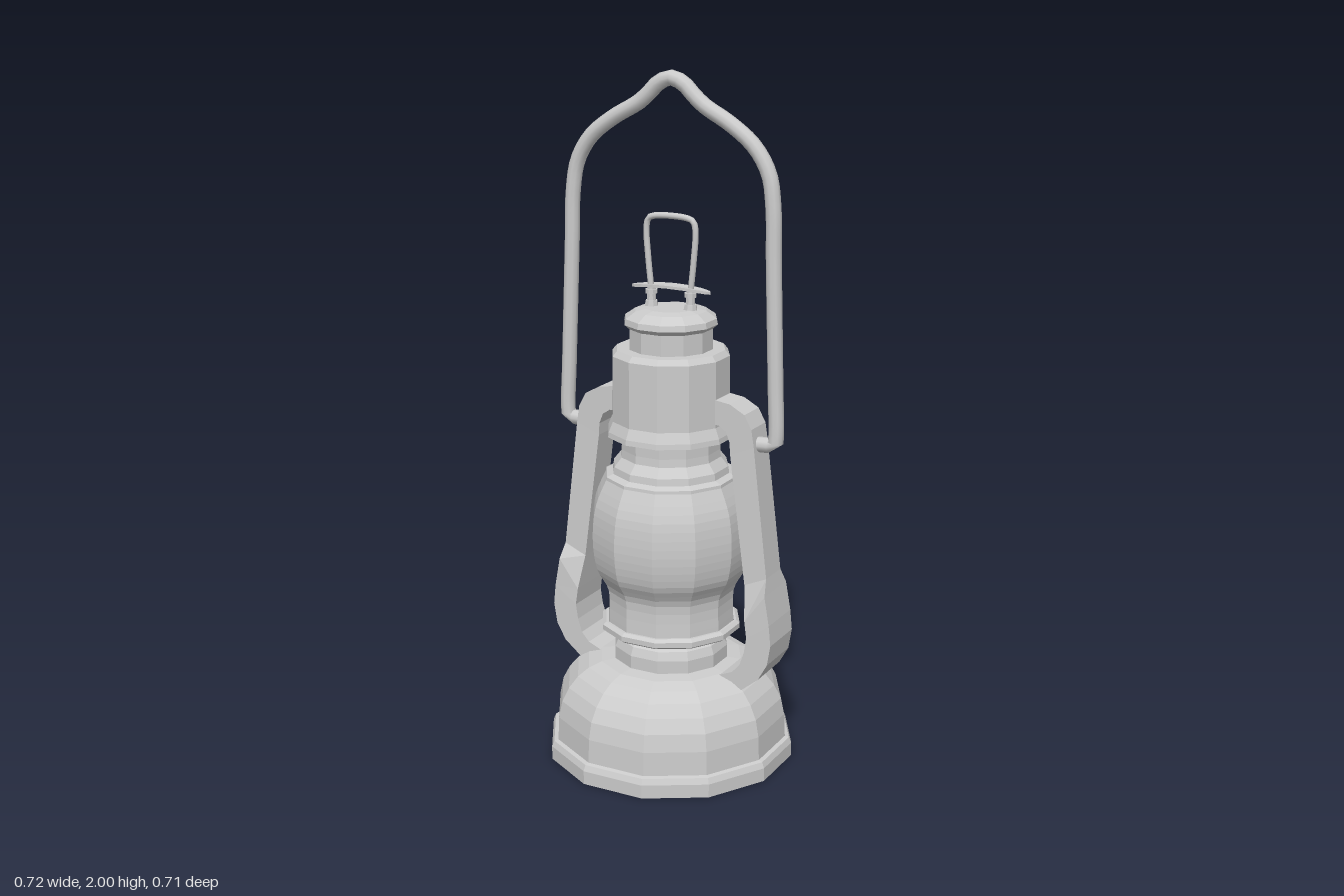
import * as THREE from 'three';

const flat = new THREE.MeshStandardMaterial({ color: 0xcccccc, flatShading: true });
const smooth = new THREE.MeshStandardMaterial({ color: 0xcccccc });

function add(parent, name, geometry, material = flat) {
  const mesh = new THREE.Mesh(geometry, material);
  mesh.name = name;
  parent.add(mesh);
  return mesh;
}

// Twelve-sided turned part; profile radii are measured across the flats
function turned(profile) {
  const k = 1 / Math.cos(Math.PI / 12);
  const pts = profile.map(([r, y]) => new THREE.Vector2(r * k, y));
  return new THREE.LatheGeometry(pts, 12, Math.PI / 12).toNonIndexed();
}

// Smooth round wire through points, with closed ends
function wire(parent, name, points, radius, segments, sides) {
  const pts = points.map((p) => new THREE.Vector3(...p));
  const curve = new THREE.CatmullRomCurve3(pts, false, 'centripetal');
  add(parent, name, new THREE.TubeGeometry(curve, segments, radius, sides), smooth);
  for (const p of [pts[0], pts[pts.length - 1]]) {
    add(parent, name + 'End', new THREE.SphereGeometry(radius, sides, 6), smooth).position.copy(p);
  }
}

// Side tube: rectangular sections [outerX, outerY, innerX, innerY, halfDepth]
function armGeometry(sections) {
  const pos = [], idx = [];
  for (const [ox, oy, ix, iy, d] of sections) {
    pos.push(ox, oy, d, ix, iy, d, ix, iy, -d, ox, oy, -d);
  }
  const last = (sections.length - 1) * 4;
  for (let j = 0; j < last; j += 4) {
    for (let k = 0; k < 4; k++) {
      const a = j + k, b = j + (k + 1) % 4;
      idx.push(a, b, b + 4, a, b + 4, a + 4);
    }
  }
  idx.push(3, 2, 1, 3, 1, 0, last, last + 1, last + 2, last, last + 2, last + 3);
  const g = new THREE.BufferGeometry();
  g.setAttribute('position', new THREE.Float32BufferAttribute(pos, 3));
  g.setIndex(idx);
  const out = g.toNonIndexed();
  out.computeVertexNormals();
  return out;
}

export function createModel() {
  const lantern = new THREE.Group();
  lantern.name = 'lantern';

  // Fuel tank with rolled foot
  add(lantern, 'fuelTank', turned([
    [0, 0], [0.354, 0], [0.354, 0.04], [0.347, 0.057], [0.335, 0.06], [0.332, 0.13],
    [0.322, 0.18], [0.302, 0.22], [0.275, 0.253], [0.243, 0.277], [0.205, 0.292], [0.165, 0.297], [0, 0.297],
  ]));

  // Burner between tank and globe
  add(lantern, 'burner', turned([
    [0.164, 0.29], [0.164, 0.335], [0.155, 0.36], [0.133, 0.38], [0.13, 0.40],
  ]));

  // Plate and rim that carry the globe
  add(lantern, 'globeRim', turned([
    [0, 0.385], [0.19, 0.385], [0.2, 0.392], [0.2, 0.407], [0.19, 0.415], [0.183, 0.415],
  ]));

  // Glass globe
  const globeCurve = new THREE.SplineCurve([
    [0.182, 0.41], [0.182, 0.51], [0.215, 0.58], [0.227, 0.67], [0.218, 0.77], [0.186, 0.85],
  ].map(([x, y]) => new THREE.Vector2(x, y)));
  add(lantern, 'globe', turned(globeCurve.getPoints(20).map((p) => [p.x, p.y])));

  // Collar over the globe
  add(lantern, 'globeCollar', turned([
    [0.15, 0.845], [0.187, 0.847], [0.186, 0.857], [0.166, 0.865], [0.163, 0.885],
    [0.142, 0.912], [0.14, 0.935], [0.14, 0.985],
  ]));

  // Chimney hood with flared skirt
  add(lantern, 'hood', turned([
    [0.13, 0.975], [0.18, 0.975], [0.178, 0.99], [0.166, 1.02], [0.165, 1.21],
    [0.152, 1.226], [0.115, 1.226],
  ]));

  // Chimney cap
  add(lantern, 'chimneyCap', turned([
    [0.117, 1.22], [0.117, 1.285], [0.131, 1.298], [0.128, 1.315], [0.1, 1.335], [0.07, 1.341], [0, 1.341],
  ]));

  // Side tubes, the second one turned half round
  const arm = armGeometry([
    [0.14, 1.105, 0.14, 1.03, 0.046], [0.21, 1.095, 0.175, 1.03, 0.046],
    [0.255, 1.07, 0.198, 1.015, 0.046], [0.277, 1.03, 0.21, 0.985, 0.046],
    [0.285, 0.98, 0.212, 0.95, 0.046], [0.33, 0.6, 0.262, 0.57, 0.048],
    [0.337, 0.555, 0.275, 0.47, 0.073], [0.352, 0.47, 0.282, 0.42, 0.074],
    [0.358, 0.41, 0.275, 0.375, 0.074], [0.348, 0.35, 0.262, 0.335, 0.074],
    [0.32, 0.3, 0.238, 0.308, 0.074], [0.265, 0.255, 0.195, 0.29, 0.074],
  ]);
  add(lantern, 'leftSideTube', arm);
  add(lantern, 'rightSideTube', arm).rotation.y = Math.PI;

  // Carrying bail, hooked into the side tubes
  const half = [
    [0.265, 0.98, 0.01], [0.305, 0.982, 0.01], [0.332, 0.985, 0.01], [0.336, 1.01, 0.01], [0.331, 1.15, 0.008],
    [0.318, 1.5, 0.004], [0.313, 1.65, 0.002], [0.298, 1.735, 0], [0.255, 1.805, 0],
    [0.185, 1.86, -0.001], [0.1, 1.908, -0.002], [0.068, 1.935, -0.002], [0.04, 1.962, -0.002],
  ];
  const mirrored = half.map(([x, y, z]) => [-x, y, z]).reverse();
  wire(lantern, 'carryingBail', [...half, [0, 1.978, -0.002], ...mirrored], 0.022, 96, 10);

  // Lifting ring on top: posts, arched leaf plate and wire loop
  const lifter = new THREE.Group();
  lifter.name = 'lifter';
  lantern.add(lifter);
  for (const s of [-1, 1]) {
    add(lifter, 'post', new THREE.CylinderGeometry(0.012, 0.014, 0.06, 8)).position.set(s * 0.062, 1.366, 0);
    add(lifter, 'postFoot', new THREE.CylinderGeometry(0.017, 0.02, 0.016, 8)).position.set(s * 0.062, 1.348, 0);
    add(lifter, 'postCollar', new THREE.CylinderGeometry(0.018, 0.018, 0.012, 8)).position.set(s * 0.062, 1.382, 0);
  }
  const leaf = new THREE.CylinderGeometry(1, 1, 0.008, 16);
  const p = leaf.attributes.position;
  for (let i = 0; i < p.count; i++) {
    const x = p.getX(i) * 0.125;
    p.setXYZ(i, x, p.getY(i) + 1.402 - 0.6 * x * x, p.getZ(i) * 0.024);
  }
  leaf.computeVertexNormals();
  add(lifter, 'leafPlate', leaf);
  const loop = [[0.063, 1.395, 0], [0.072, 1.48, 0], [0.077, 1.565, 0], [0.07, 1.589, 0], [0.05, 1.597, 0]];
  wire(lifter, 'loop', [...loop, ...loop.map(([x, y, z]) => [-x, y, z]).reverse()], 0.009, 40, 8);

  return lantern;
}
